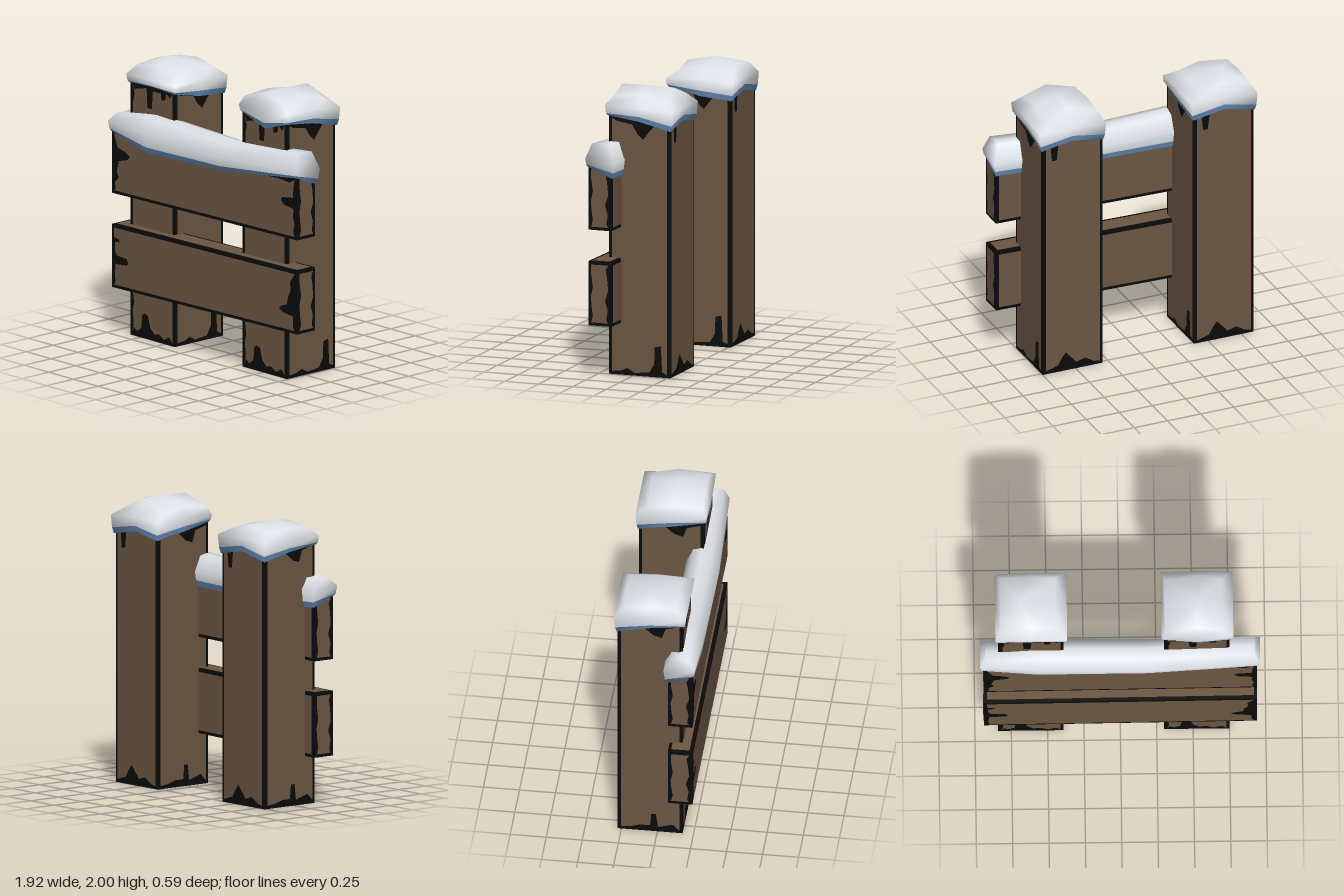
import * as THREE from 'three';
import { mergeVertices } from 'three/addons/utils/BufferGeometryUtils.js';

const mat = (name, color, side = THREE.FrontSide) => {
  const m = new THREE.MeshStandardMaterial({ color, side });
  m.name = name;
  return m;
};

// Rectangle with a dark margin; each side may be eaten into by [position 0..1, depth] points.
function raggedPanel(w, h, bites = {}, b = 0.022) {
  const { bottom = [], right = [], top = [], left = [] } = bites;
  const pts = [
    [b, b], ...bottom.map(([u, d]) => [u * w, d]),
    [w - b, b], ...right.map(([v, d]) => [w - d, v * h]),
    [w - b, h - b], ...[...top].reverse().map(([u, d]) => [u * w, h - d]),
    [b, h - b], ...[...left].reverse().map(([v, d]) => [d, v * h]),
  ];
  return new THREE.ShapeGeometry(new THREE.Shape(pts.map(([x, y]) => new THREE.Vector2(x - w / 2, y - h / 2))));
}

// Dark beam with a thin brown panel on each side; slope shears it upwards along x.
function beam(name, [w, h, d], centre, bites, slope, mats) {
  const group = new THREE.Group();
  group.name = name;
  const place = new THREE.Matrix4().makeTranslation(...centre);
  place.elements[1] = slope;
  const add = (geo, material, part) => {
    geo.applyMatrix4(place);
    const mesh = new THREE.Mesh(geo, material);
    mesh.name = part;
    group.add(mesh);
  };
  add(new THREE.BoxGeometry(w, h, d), mats.edge, 'charredEdges');
  const faces = [
    ['front', w, h, d, 0, 0], ['back', w, h, d, 0, Math.PI],
    ['right', d, h, w, 0, Math.PI / 2], ['left', d, h, w, 0, -Math.PI / 2],
    ['top', w, d, h, -Math.PI / 2, 0], ['bottom', w, d, h, Math.PI / 2, 0],
  ];
  for (const [side, fw, fh, depth, rx, ry] of faces) {
    const geo = raggedPanel(fw, fh, bites[side]);
    geo.translate(0, 0, depth / 2 + 0.003).rotateX(rx).rotateY(ry);
    add(geo, mats.wood, side + 'WoodFace');
  }
  return group;
}

// Surface through closed rings of points, each ring above the last.
function loft(rings) {
  const n = rings[0].length, index = [];
  for (let j = 0; j < rings.length - 1; j++)
    for (let i = 0; i < n; i++) {
      const a = j * n + i, b = j * n + (i + 1) % n;
      index.push(a, b, b + n, a, b + n, a + n);
    }
  const geo = new THREE.BufferGeometry();
  geo.setAttribute('position', new THREE.Float32BufferAttribute(rings.flat(2), 3));
  geo.setIndex(index);
  const merged = mergeVertices(geo, 1e-4);
  merged.computeVertexNormals();
  return merged;
}

// Snow body with a blue band along its lower rim.
function snow(name, rings, mats) {
  const group = new THREE.Group();
  group.name = name;
  const rim = new THREE.Mesh(loft(rings.slice(0, 2)), mats.rim);
  rim.name = 'snowRim';
  const body = new THREE.Mesh(loft(rings.slice(1)), mats.snow);
  body.name = 'snowBody';
  group.add(rim, body);
  return group;
}

// Square snow cap: corners and midpoints, front left first, anticlockwise from above.
function snowCap(name, cx, cz, { low, band, wide, high, reach, peak }, mats) {
  const dirs = [[-1, 1], [0, 1], [1, 1], [1, 0], [1, -1], [0, -1], [-1, -1], [-1, 0]];
  const ring = (s, ys) => dirs.map(([x, z], i) => [cx + x * s, ys[i], cz + z * s]);
  const top = dirs.map(([x, z], i) => [
    cx + x * (x > 0 ? reach[0] : reach[1]), high[i], cz + z * (z > 0 ? reach[2] : reach[3])]);
  const tip = dirs.map(() => [cx + peak[0], peak[1], cz + peak[2]]);
  return snow(name, [ring(0.232, low), ring(0.241, low.map((y, i) => y + band[i])), ring(0.247, wide), top, tip], mats);
}

export function createModel() {
  const mats = {
    wood: mat('brown wood', 0x6c5743),
    edge: mat('charred black', 0x0c0b0a),
    snow: mat('white snow', 0xe2e7ec, THREE.DoubleSide),
    rim: mat('blue snow shade', 0x6a94c4, THREE.DoubleSide),
  };
  const model = new THREE.Group();
  model.name = 'snowyFence';

  // Posts
  const rough = [[0.1, 0.035], [0.25, 0.02], [0.4, 0.05], [0.6, 0.025], [0.75, 0.045], [0.9, 0.03]];
  const postBites = {
    front: {
      bottom: [[0.08, 0.06], [0.16, 0.04], [0.25, 0.07], [0.27, 0.16], [0.32, 0.18], [0.4, 0.17], [0.45, 0.09],
        [0.54, 0.05], [0.65, 0.06], [0.76, 0.03], [0.88, 0.06]],
      top: [[0.1, 0.06], [0.37, 0.03], [0.39, 0.17], [0.49, 0.17], [0.51, 0.04], [0.69, 0.04], [0.71, 0.09], [0.79, 0.08], [0.82, 0.03], [0.9, 0.06]],
      left: [[0.05, 0.035], [0.1, 0.025], [0.13, 0.04], [0.18, 0.025], [0.92, 0.03], [0.95, 0.045]],
    },
    right: {
      bottom: [[0.2, 0.03], [0.3, 0.05], [0.42, 0.02], [0.66, 0.03], [0.74, 0.09], [0.75, 0.21], [0.85, 0.22], [0.87, 0.04]],
      top: [[0.12, 0.04], [0.38, 0.06], [0.46, 0.12], [0.56, 0.16], [0.66, 0.1], [0.74, 0.06]],
    },
    back: {
      bottom: [[0.1, 0.03], [0.25, 0.05], [0.3, 0.09], [0.38, 0.14], [0.48, 0.09], [0.56, 0.05], [0.7, 0.07], [0.85, 0.03]],
      top: [[0.12, 0.04], [0.15, 0.18], [0.23, 0.18], [0.26, 0.06], [0.5, 0.04], [0.8, 0.06]],
    },
    left: {
      bottom: [[0.2, 0.03], [0.35, 0.05], [0.5, 0.05], [0.52, 0.15], [0.59, 0.15], [0.62, 0.04], [0.85, 0.07]],
      top: [[0.2, 0.04], [0.4, 0.05], [0.55, 0.11], [0.68, 0.13], [0.74, 0.05]],
    },
    bottom: { bottom: rough, top: rough, left: rough, right: rough },
  };
  for (const [name, x] of [['rightPost', -0.615], ['leftPost', 0.525]])
    model.add(beam(name, [0.45, 1.82, 0.45], [x, 0.91, -0.05], postBites, 0, mats));

  // Planks
  const endBites = {
    left: [[0.15, 0.035], [0.3, 0.025], [0.45, 0.02], [0.6, 0.035], [0.8, 0.022]],
    right: [[0.1, 0.035], [0.25, 0.025], [0.4, 0.045], [0.55, 0.022], [0.75, 0.03], [0.88, 0.04]],
  };
  const lowerFront = {
    left: [[0.1, 0.04], [0.2, 0.03], [0.38, 0.04], [0.4, 0.15], [0.43, 0.17], [0.5, 0.15], [0.52, 0.05], [0.6, 0.03],
      [0.72, 0.03], [0.74, 0.08], [0.78, 0.07], [0.8, 0.025]],
    right: [[0.12, 0.04], [0.27, 0.04], [0.3, 0.13], [0.34, 0.18], [0.4, 0.16], [0.44, 0.1], [0.56, 0.09], [0.68, 0.06], [0.8, 0.07], [0.92, 0.03]],
  };
  const upperFront = {
    left: [[0.1, 0.04], [0.18, 0.03], [0.27, 0.07], [0.36, 0.05], [0.43, 0.06], [0.53, 0.07], [0.58, 0.16], [0.64, 0.18], [0.7, 0.13], [0.74, 0.06], [0.85, 0.04]],
    right: [[0.12, 0.035], [0.25, 0.022], [0.36, 0.04], [0.48, 0.03], [0.52, 0.13], [0.58, 0.16], [0.63, 0.15], [0.66, 0.04], [0.85, 0.03]],
    top: [[0.85, 0.04], [0.91, 0.04], [0.96, 0.05]],
  };
  for (const [name, y, front] of [['lowerPlank', 0.577, lowerFront], ['upperPlank', 1.248, upperFront]])
    model.add(beam(name, [1.88, 0.45, 0.17], [0, y, 0.17],
      { front, right: endBites, left: endBites }, 0.019, mats));

  // Snow on the posts
  model.add(snowCap('rightPostSnow', -0.613, -0.05, {
    low: [1.8, 1.81, 1.8, 1.75, 1.73, 1.77, 1.72, 1.77],
    band: [0.012, 0.008, 0.015, 0.04, 0.04, 0.04, 0.04, 0.03],
    wide: [1.86, 1.86, 1.86, 1.87, 1.86, 1.87, 1.85, 1.87],
    high: [1.92, 1.95, 1.91, 1.93, 1.91, 1.95, 1.92, 1.935],
    reach: [0.165, 0.21, 0.18, 0.19], peak: [-0.085, 1.975, -0.01],
  }, mats));
  model.add(snowCap('leftPostSnow', 0.53, -0.05, {
    low: [1.82, 1.745, 1.815, 1.785, 1.73, 1.77, 1.73, 1.77],
    band: [0.015, 0.04, 0.015, 0.035, 0.04, 0.04, 0.04, 0.04],
    wide: [1.87, 1.9, 1.89, 1.88, 1.86, 1.87, 1.86, 1.87],
    high: [1.93, 1.995, 1.94, 1.965, 1.92, 1.995, 1.92, 1.945],
    reach: [0.17, 0.22, 0.215, 0.165], peak: [0, 2, 0.01],
  }, mats));

  // Snow along the upper plank: front left to right, then back right to left
  const strip = (xs, zFront, zBack, yFront, yBack) => [
    ...xs.map((x, i) => [x, yFront[i], zFront[i]]),
    ...xs.map((x, i) => [x, yBack[i], zBack[i]]).reverse(),
  ];
  const lowF = [1.45, 1.36, 1.39, 1.485], lowB = [1.38, 1.36, 1.38, 1.41];
  const rimXs = [-0.945, -0.57, 0.19, 0.945];
  const topXs = [-0.93, -0.57, 0.19, 0.922], topY = [1.57, 1.622, 1.595, 1.643];
  const lift = (ys, k) => ys.map((y, i) => y + k[i]);
  model.add(snow('plankSnow', [
    strip(rimXs, [0.262, 0.264, 0.266, 0.262], [0.078, 0.076, 0.076, 0.078], lowF, lowB),
    strip([-0.955, -0.57, 0.19, 0.952], [0.268, 0.278, 0.284, 0.266], [0.066, 0.062, 0.064, 0.068],
      lift(lowF, [0.015, 0.045, 0.035, 0.015]), lift(lowB, [0.04, 0.045, 0.04, 0.04])),
    strip([-0.965, -0.57, 0.19, 0.96], [0.272, 0.286, 0.296, 0.27], [0.058, 0.05, 0.055, 0.06],
      [1.52, 1.5, 1.49, 1.54], [1.5, 1.49, 1.48, 1.52]),
    strip(topXs, [0.225, 0.235, 0.24, 0.235], [0.1, 0.1, 0.1, 0.1], lift(topY, [0, -0.02, -0.015, 0]), lift(topY, [0, -0.02, -0.015, 0])),
    strip(topXs, [0.165, 0.165, 0.165, 0.165], [0.165, 0.165, 0.165, 0.165], topY, topY),
  ], mats));

  return model;
}
